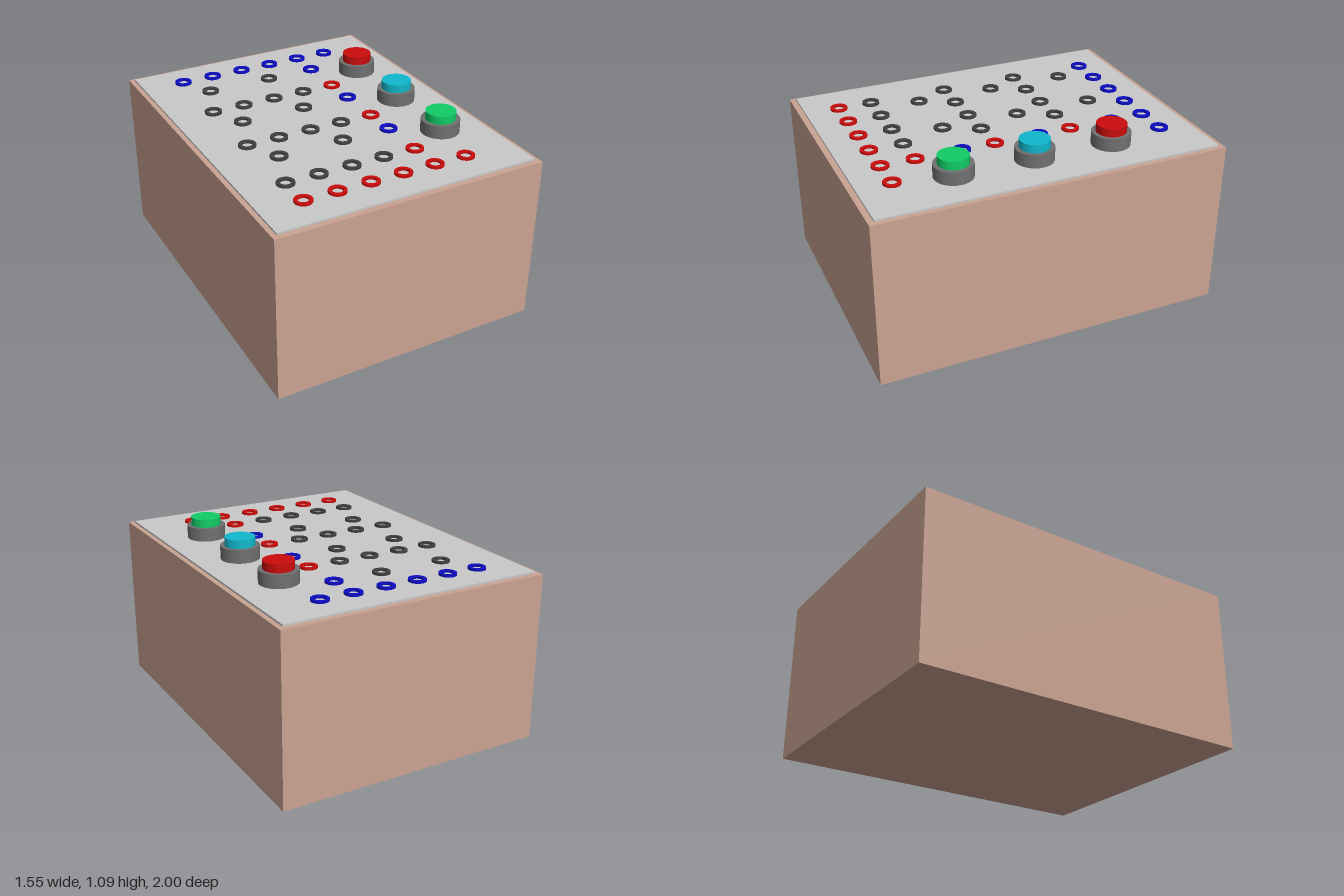
import * as THREE from 'three';

const mat = (name, color) => {
  const m = new THREE.MeshStandardMaterial({ color });
  m.name = name;
  return m;
};

export function createModel() {
  const model = new THREE.Group();
  model.name = 'controlBox';

  const tan = mat('tanCase', 0xcaa392);
  const plateGrey = mat('lightGreyPlate', 0xc9c9c9);
  const collarGrey = mat('midGreyCollar', 0x707070);
  const dark = mat('darkGreySocket', 0x404040);
  const red = mat('red', 0xcc0c0c);
  const blue = mat('blue', 0x0c0cc4);
  const cyan = mat('cyan', 0x10b8cc);
  const green = mat('green', 0x10cc66);

  const add = (name, geometry, material, x, y, z, parent = model) => {
    const mesh = new THREE.Mesh(geometry, material);
    mesh.name = name;
    mesh.position.set(x, y, z);
    parent.add(mesh);
    return mesh;
  };

  // Case and the panel lying on top of it
  const caseTop = 0.96, panelTop = 0.971;
  add('case', new THREE.BoxGeometry(1.555, caseTop, 2), tan, 0, caseTop / 2, 0);
  add('topPanel', new THREE.BoxGeometry(1.5, panelTop - caseTop, 1.935), plateGrey,
    0, (caseTop + panelTop) / 2, 0);

  // Socket rings: a flat band around an open hole
  const ringShape = new THREE.Shape().absarc(0, 0, 0.049, 0, Math.PI * 2);
  ringShape.holes.push(new THREE.Path().absarc(0, 0, 0.03, 0, Math.PI * 2, true));
  const ring = new THREE.ExtrudeGeometry(ringShape, { depth: 0.013, bevelEnabled: false, curveSegments: 16 });
  ring.rotateX(-Math.PI / 2);

  const columns = [-0.51, -0.32, -0.128, 0.063, 0.255, 0.447];
  const pair = [-0.415, -0.033];
  const sockets = new THREE.Group();
  sockets.name = 'sockets';
  model.add(sockets);
  const addSocket = (x, z, material) => add('socket', ring, material, x, panelTop, z, sockets);

  // Full rows at the back and front
  for (const x of columns) {
    addSocket(x, -0.782, blue);
    addSocket(x, 0.776, red);
  }
  // Three repeated banks: two sockets and a blue one, then four and a red one
  for (const z of [-0.59, -0.135, 0.32]) {
    for (const x of pair) addSocket(x, z, dark);
    addSocket(columns[4], z, blue);
    for (const x of columns.slice(0, 4)) addSocket(x, z + 0.264, dark);
    addSocket(columns[4], z + 0.264, red);
  }

  // Push buttons: grey collar with a coloured cap
  const collar = new THREE.CylinderGeometry(0.108, 0.108, 0.075, 32);
  const cap = new THREE.CylinderGeometry(0.084, 0.084, 0.047, 32);
  [['redButton', red, -0.447], ['cyanButton', cyan, 0.008], ['greenButton', green, 0.463]]
    .forEach(([name, material, z]) => {
      const button = new THREE.Group();
      button.name = name;
      button.position.set(0.496, panelTop, z);
      model.add(button);
      add('collar', collar, collarGrey, 0, 0.0375, 0, button);
      add('cap', cap, material, 0, 0.0985, 0, button);
    });

  return model;
}
